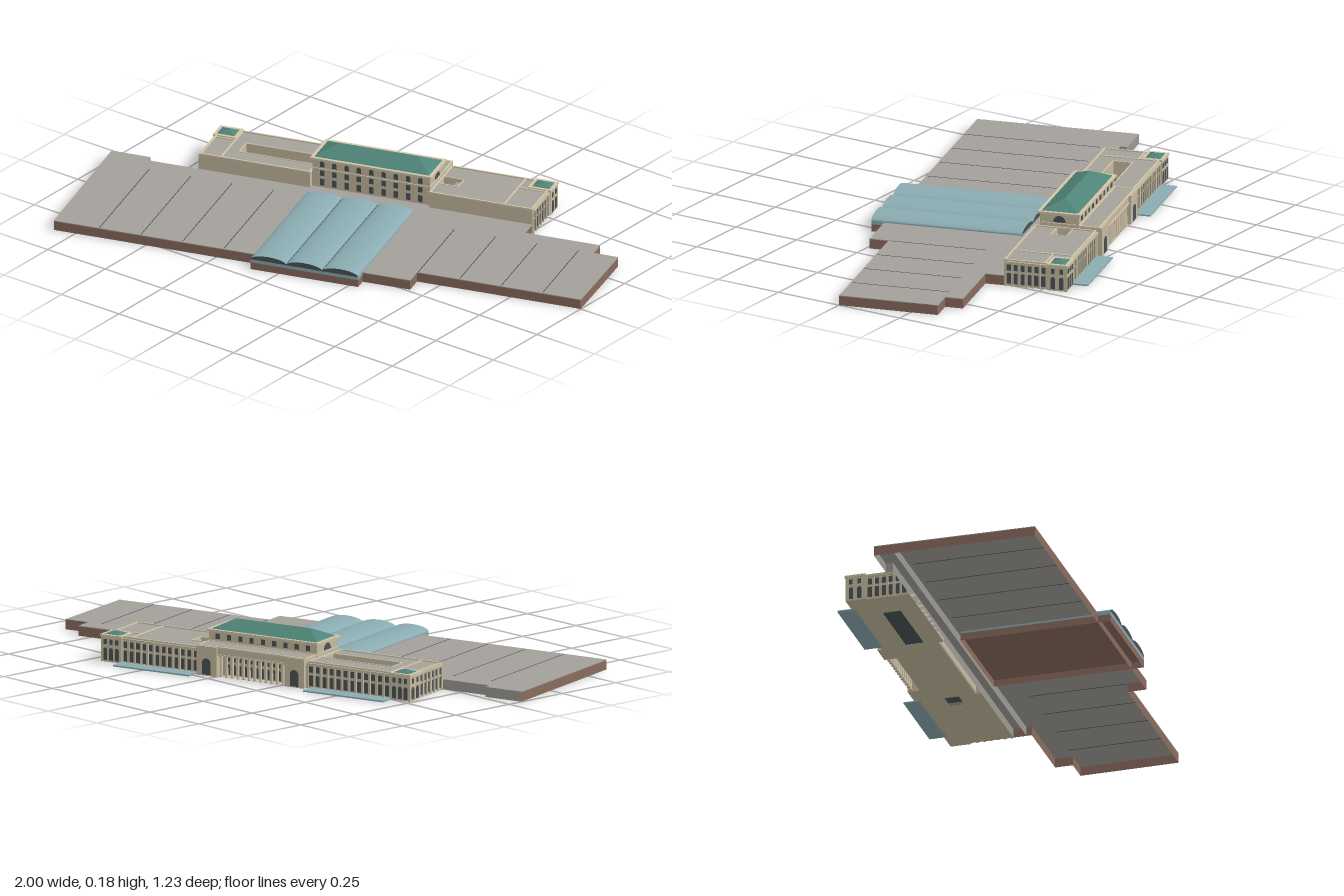
import * as THREE from 'three';
import { mergeGeometries } from 'three/addons/utils/BufferGeometryUtils.js';

const mat = (color, side = THREE.FrontSide) => new THREE.MeshStandardMaterial({ color, side });
const stone = mat(0xc6ba9f), roofGrey = mat(0xa5a19a), copper = mat(0x4f8377), glass = mat(0x89abb1);
const dark = mat(0x4a5256), trim = mat(0xd2c6aa), slab = mat(0xa3a09a);
const brickWall = mat(0x8a6a5d, THREE.DoubleSide), greyWall = mat(0x9a9892, THREE.DoubleSide);

function add(parent, name, geometry, material) {
  const mesh = new THREE.Mesh(geometry, material);
  mesh.name = name;
  parent.add(mesh);
  return mesh;
}

// Joins indexed and non-indexed geometries alike
const merge = (list) => mergeGeometries(list.map((g) => (g.index ? g.toNonIndexed() : g)));

// Box given by its limits
function boxGeo(x0, x1, y0, y1, z0, z1) {
  return new THREE.BoxGeometry(x1 - x0, y1 - y0, z1 - z0)
    .translate((x0 + x1) / 2, (y0 + y1) / 2, (z0 + z1) / 2);
}

// Plan outline of [x, z] points raised from y0 to y1; holes run the opposite way
function planGeo(points, holes, y0, y1) {
  const toV = (p) => new THREE.Vector2(p[0], -p[1]);
  const shape = new THREE.Shape(points.map(toV));
  holes.forEach((h) => shape.holes.push(new THREE.Path(h.map(toV).reverse())));
  return new THREE.ExtrudeGeometry(shape, { depth: y1 - y0, bevelEnabled: false })
    .rotateX(-Math.PI / 2).translate(0, y0, 0);
}
const rect = (x0, x1, z0, z1) => [[x0, z0], [x1, z0], [x1, z1], [x0, z1]];

// Thin upright wall along a path of [x, z] points
function wallGeo(path, y0, y1) {
  const v = [];
  for (let i = 0; i + 1 < path.length; i++) {
    const [ax, az] = path[i], [bx, bz] = path[i + 1];
    v.push(bx, y0, bz, ax, y0, az, ax, y1, az, bx, y0, bz, ax, y1, az, bx, y1, bz);
  }
  const g = new THREE.BufferGeometry();
  g.setAttribute('position', new THREE.Float32BufferAttribute(v, 3));
  g.computeVertexNormals();
  return g;
}

// Parapet frame around a rectangle
const frameGeo = (x0, x1, z0, z1, y0, y1, t) =>
  planGeo(rect(x0, x1, z0, z1), [rect(x0 + t, x1 - t, z0 + t, z1 - t)], y0, y1);

// Hipped roof; ridge 0 gives a pyramid
function hipGeo(w, d, ridge, h) {
  const a = [-w / 2, 0, d / 2], b = [w / 2, 0, d / 2], c = [w / 2, 0, -d / 2], e = [-w / 2, 0, -d / 2];
  const l = [-ridge / 2, h, 0], r = [ridge / 2, h, 0];
  const tris = [a, b, r, b, c, r, c, e, l, e, a, l];
  if (ridge > 0) tris.push(a, r, l, c, l, r);
  const g = new THREE.BufferGeometry();
  g.setAttribute('position', new THREE.Float32BufferAttribute(tris.flat(), 3));
  g.computeVertexNormals();
  return g;
}

// Window pane with an optional round head, lying on a facade plane
function paneGeo(x, y0, y1, w, arched) {
  const s = new THREE.Shape(), r = w / 2;
  s.moveTo(-r, y0);
  s.lineTo(r, y0);
  if (arched) s.absarc(0, y1 - r, r, 0, Math.PI, false);
  else { s.lineTo(r, y1); s.lineTo(-r, y1); }
  return new THREE.ExtrudeGeometry(s, { depth: 0.003, bevelEnabled: false, curveSegments: 8 })
    .translate(x, 0, -0.0015);
}

// Facade: rows of windows [y0, y1, width, arched], plus pilasters between bays if wanted
function facade(parent, name, x, z, turn, width, bays, rows, pilaster) {
  const g = new THREE.Group();
  g.name = name;
  g.position.set(x, 0, z);
  g.rotation.y = turn;
  parent.add(g);
  const step = width / bays, panes = [], piers = [];
  for (let i = 0; i < bays; i++)
    for (const [y0, y1, w, arched] of rows) panes.push(paneGeo((i + 0.5) * step - width / 2, y0, y1, w, arched));
  add(g, 'windows', merge(panes), dark);
  if (!pilaster) return;
  for (let i = 0; i <= bays; i++) {
    const px = i * step - width / 2;
    piers.push(boxGeo(px - 0.004, px + 0.004, 0, 0.083, -0.001, 0.005));
  }
  piers.push(boxGeo(-width / 2, width / 2, 0.083, 0.09, -0.001, 0.007));
  add(g, 'pilasters', merge(piers), stone);
}

function buildTrainShed(g) {
  // Thin roof slab on perimeter walls, open below
  const rear = [[-0.974, -0.229], [-0.829, -0.229], [-0.829, -0.203], [-0.229, -0.203]];
  const bay = [[-0.229, -0.222], [0.212, -0.222], [0.212, -0.203], [0.594, -0.203]];
  const sides = [[0.594, -0.136], [0.871, -0.136], [0.871, -0.072], [0.962, -0.072], [0.958, 0.285],
    [0.352, 0.285], [0.352, 0.353], [-0.968, 0.353]];
  add(g, 'platformRoof', planGeo([...rear, ...bay, ...sides], [], 0.033, 0.036), slab);
  add(g, 'platformWalls', wallGeo([bay[3], ...sides, rear[0]], 0, 0.035), brickWall);
  add(g, 'rearWall', wallGeo([...rear, bay[3]], 0, 0.034), greyWall);
  add(g, 'concourseWall', wallGeo([[-0.973, -0.155], [0.594, -0.155]], 0, 0.034), greyWall);
  // Roof joints
  const joints = [];
  for (let i = 0; i < 4; i++) {
    const l = -0.8 + i * 0.1535, r = 0.355 + i * 0.1535;
    joints.push(boxGeo(l - 0.0015, l + 0.0015, 0.032, 0.0366, -0.14, 0.35));
    joints.push(boxGeo(r - 0.0015, r + 0.0015, 0.032, 0.0366, -0.07, 0.28));
  }
  add(g, 'roofJoints', merge(joints), dark);
  // Glazed hall with three barrel vaults
  const x0 = -0.222, x1 = 0.176, z0 = -0.145, z1 = 0.398, w = (x1 - x0) / 3;
  const ring = rect(x0, x1, z0, z1);
  add(g, 'vaultBase', wallGeo([...ring, ring[0]], 0, 0.026), brickWall);
  add(g, 'vaultFloor', boxGeo(x0, x1, 0.024, 0.026, z0, z1), brickWall);
  add(g, 'vaultWalls', boxGeo(x0, x1, 0.026, 0.039, z0, z1), glass);
  for (let i = 0; i < 3; i++) {
    const s = new THREE.Shape();
    s.absellipse(0, 0, w / 2, 0.019, 0, Math.PI, false);
    const vault = new THREE.ExtrudeGeometry(s, { depth: z1 - z0 + 0.002, bevelEnabled: false, curveSegments: 24 });
    add(g, 'barrelVault', vault, [dark, glass]).position.set(x0 + (i + 0.5) * w, 0.0385, z0 - 0.001);
    if (i) add(g, 'vaultGutter', boxGeo(x0 + i * w - 0.002, x0 + i * w + 0.002, 0.036, 0.042, z0, z1), dark);
  }
}

function buildStation(g) {
  const L = -0.637, R = 0.594, B = -0.425, F = -0.203, cl = -0.229, cr = 0.212;
  const courts = [rect(-0.515, -0.24, -0.338, -0.272), rect(0.217, 0.288, -0.338, -0.285)];
  // Long main body with open light courts and a recess behind the portico
  const body = [[L, B], [-0.145, B], [-0.145, -0.4], [0.13, -0.4], [0.13, B], [R, B], [R, F], [cr, F], [cr, -0.222],
    [cl, -0.222], [cl, F], [L, F]];
  add(g, 'foundation', planGeo(body, courts, 0, 0.003), stone);
  add(g, 'mainBody', planGeo(body, courts, 0.003, 0.092), [roofGrey, stone]);
  add(g, 'courtFloors', merge([
    boxGeo(-0.515, -0.24, 0.001, 0.03, -0.338, -0.272), boxGeo(0.217, 0.262, 0.001, 0.06, -0.338, -0.285)]), dark);
  add(g, 'courtLedge', boxGeo(0.262, 0.288, 0.001, 0.08, -0.338, -0.285), roofGrey);
  // Parapets
  add(g, 'parapets', merge([
    frameGeo(L, cl, B, F, 0.088, 0.096, 0.006), frameGeo(cr, R, B, F, 0.088, 0.096, 0.006),
    frameGeo(-0.519, -0.236, -0.342, -0.268, 0.088, 0.094, 0.004),
    frameGeo(0.213, 0.292, -0.342, -0.281, 0.088, 0.094, 0.004),
    boxGeo(-0.563, -0.557, 0.088, 0.095, B, F), boxGeo(0.485, 0.491, 0.088, 0.095, B, F),
    boxGeo(0.491, R, 0.088, 0.095, -0.353, -0.347), boxGeo(L, -0.563, 0.088, 0.095, -0.353, -0.347)]), trim);
  // Corner pavilions with small pyramid roofs
  for (const [x0, x1] of [[-0.645, -0.565], [0.522, 0.602]]) {
    const cx = (x0 + x1) / 2, p = new THREE.Group();
    p.name = 'cornerPavilion';
    g.add(p);
    add(p, 'pavilionWalls', boxGeo(x0, x1, 0, 0.09, -0.432, -0.362), stone);
    add(p, 'pavilionCornice', boxGeo(x0 - 0.003, x1 + 0.003, 0.088, 0.096, -0.435, -0.359), trim);
    add(p, 'pavilionRoof', hipGeo(0.066, 0.056, 0, 0.012), copper).position.set(cx, 0.0955, -0.397);
    const rows = [[0.006, 0.05, 0.015, true], [0.062, 0.08, 0.012]];
    facade(p, 'pavilionRear', cx, -0.432, Math.PI, 0.07, 3, rows);
    const side = Math.sign(cx);
    facade(p, 'pavilionSide', side > 0 ? x1 : x0, -0.397, side * Math.PI / 2, 0.06, 2, rows);
  }
  // Rear wings and end facades
  const bayRows = [[0.008, 0.046, 0.016], [0.056, 0.078, 0.015]];
  facade(g, 'rearRightWing', -0.395, B, Math.PI, 0.335, 12, bayRows, true);
  facade(g, 'rearLeftWing', 0.366, B, Math.PI, 0.31, 12, bayRows, true);
  facade(g, 'endFacade', R, -0.283, Math.PI / 2, 0.15, 6, bayRows, true);
  facade(g, 'endFacade', L, -0.283, -Math.PI / 2, 0.15, 6, bayRows, true);
  // Portico: end bays, columns, entablature and attic
  const shafts = [], caps = [];
  for (let i = 0; i < 12; i++) {
    const x = -0.132 + i * (0.25 / 11);
    shafts.push(new THREE.CylinderGeometry(0.0042, 0.005, 0.07, 10).translate(x, 0.038, -0.43));
    caps.push(boxGeo(x - 0.006, x + 0.006, 0.071, 0.076, -0.436, -0.424));
    caps.push(boxGeo(x - 0.006, x + 0.006, 0, 0.004, -0.436, -0.424));
  }
  add(g, 'porticoColumns', merge(shafts), trim);
  add(g, 'columnCapsAndBases', merge(caps), trim);
  facade(g, 'porticoDoors', -0.007, -0.4, Math.PI, 0.25, 11, [[0.004, 0.04, 0.013, true], [0.05, 0.068, 0.012]]);
  for (const [x0, x1] of [[-0.225, -0.145], [0.13, 0.21]]) {
    add(g, 'porticoEndBay', boxGeo(x0, x1, 0, 0.104, -0.444, -0.364), stone);
    facade(g, 'endBayArch', (x0 + x1) / 2, -0.444, Math.PI, 0.07, 1, [[0.004, 0.062, 0.034, true]]);
  }
  add(g, 'entablature', boxGeo(-0.146, 0.131, 0.076, 0.104, -0.436, -0.364), stone);
  add(g, 'porticoRoof', boxGeo(-0.222, 0.207, 0.1, 0.1045, -0.434, -0.364), roofGrey);
  add(g, 'porticoParapet', merge([frameGeo(-0.226, 0.211, -0.437, -0.36, 0.1, 0.106, 0.006),
    boxGeo(-0.146, 0.131, 0.076, 0.08, -0.439, -0.428)]), trim);
  // Tall central block
  const cx = (cl + cr) / 2;
  add(g, 'centralBlock', boxGeo(cl + 0.003, cr - 0.003, 0.003, 0.14, -0.36, -0.22), stone);
  add(g, 'centralCornice', merge([boxGeo(cl - 0.004, cr + 0.004, 0.139, 0.147, -0.367, -0.213),
    boxGeo(cl, cr, 0.105, 0.108, -0.363, -0.217)]), trim);
  add(g, 'centralRoof', hipGeo(0.425, 0.132, 0.3, 0.031), copper).position.set(cx, 0.1468, -0.29);
  facade(g, 'centralFront', cx, -0.22, 0, 0.41, 9,
    [[0.043, 0.068, 0.016], [0.08, 0.1, 0.016], [0.113, 0.135, 0.016, true]]);
  facade(g, 'centralRear', cx, -0.36, Math.PI, 0.41, 9, [[0.114, 0.133, 0.016]]);
  facade(g, 'centralLunette', cr - 0.003, -0.29, Math.PI / 2, 0.1, 1, [[0.111, 0.134, 0.044, true]]);
  facade(g, 'centralLunette', cl + 0.003, -0.29, -Math.PI / 2, 0.1, 1, [[0.111, 0.134, 0.044, true]]);
  // Low rear terraces
  for (const [x0, x1] of [[-0.569, -0.245], [0.216, 0.523]])
    add(g, 'rearTerrace', boxGeo(x0, x1, 0, 0.005, -0.485, -0.42), glass);
}

export function createModel() {
  const root = new THREE.Group();
  root.name = 'railwayStation';
  // The whole complex stands at an angle to the axes
  const site = new THREE.Group();
  site.name = 'site';
  site.rotation.y = THREE.MathUtils.degToRad(16.6);
  root.add(site);
  for (const [name, build] of [['trainShed', buildTrainShed], ['stationBuilding', buildStation]]) {
    const g = new THREE.Group();
    g.name = name;
    site.add(g);
    build(g);
  }
  return root;
}
